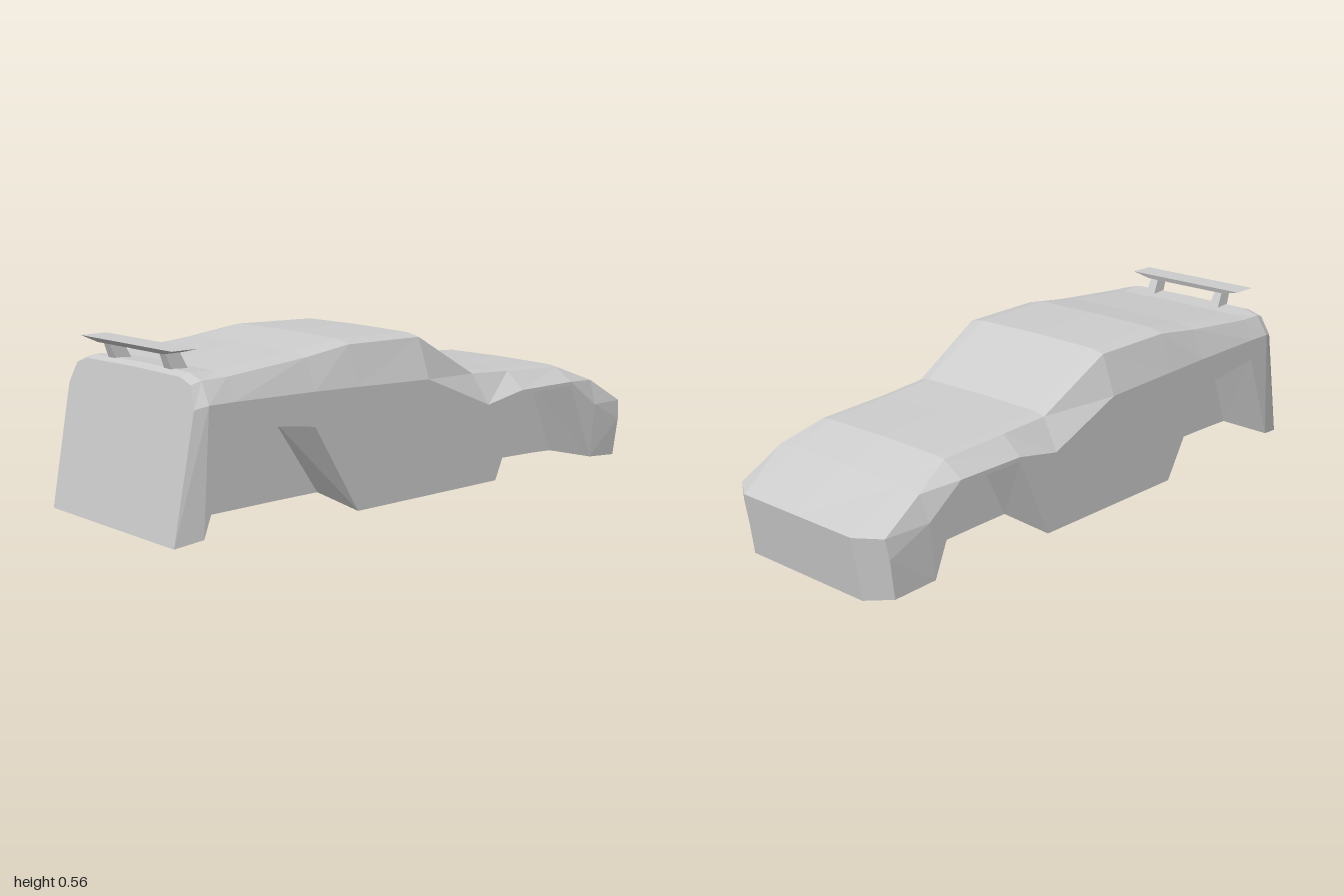
import * as THREE from 'three';

const material = new THREE.MeshStandardMaterial({ color: 0xcccccc, flatShading: true, side: THREE.DoubleSide });

// Cross-sections from tail to nose. Wheel wells appear where the arch rises above the floor.
const stations = [
  { xb: -1.0, xt: -0.91, floor: 0.015, arch: 0.015, zo: 0.32, belt: [0.325, 0.4], edge: [0.295, 0.465], top: 0.485 },
  { xb: -0.91, xt: -0.88, floor: 0.04, arch: 0.03, belt: [0.34, 0.41], edge: [0.3, 0.475], top: 0.495, dx: 0.015 },
  { xb: -0.795, xt: -0.795, floor: 0.043, arch: 0.34, belt: [0.34, 0.41], edge: [0.305, 0.478], top: 0.49, dx: 0.01 },
  { xb: -0.5, xt: -0.5, floor: 0.045, arch: 0.3, belt: [0.34, 0.405], edge: [0.3, 0.503], top: 0.517, dx: -0.01 },
  { xb: -0.33, xt: -0.33, floor: 0.045, arch: 0.015, belt: [0.34, 0.4], edge: [0.297, 0.525], top: 0.541, dx: -0.015 },
  { xb: -0.03, xt: -0.03, floor: 0.04, arch: 0.015, belt: [0.34, 0.39], edge: [0.292, 0.52], top: 0.533 },
  { xb: 0.28, xt: 0.23, floor: 0.035, arch: 0.015, belt: [0.34, 0.275], edge: [0.276, 0.373], top: 0.385, dx: 0.015 },
  { xb: 0.41, xt: 0.41, floor: 0.033, arch: 0.29, belt: [0.34, 0.305], edge: [0.27, 0.362], top: 0.372, dx: 0.01 },
  { xb: 0.66, xt: 0.66, floor: 0.027, arch: 0.29, belt: [0.34, 0.305], edge: [0.27, 0.35], top: 0.358, dx: -0.01 },
  { xb: 0.77, xt: 0.8, floor: 0.022, arch: 0.025, belt: [0.34, 0.21], edge: [0.31, 0.293], top: 0.303, dx: -0.015 },
  { xb: 0.97, xt: 1.0, floor: 0, arch: 0.01, zo: 0.325, zi: 0.245, belt: [0.33, 0.14], edge: [0.322, 0.205], top: 0.203, corner: 0.055 },
];

// Half outline of one section, from floor centre out and up to roof centre
function section({ xb, xt, floor, arch, zo = 0.34, zi = 0.165, belt, edge, top, dx = 0, corner = 0 }) {
  const outline = [
    [0, floor], [zi, floor], [zi, Math.max(floor, arch - 0.012)], [zo, arch],
    belt, edge, [0.24, Math.max(top - 0.003, edge[1] - 0.002)], [0, top],
  ];
  return outline.map(([z, y], i) => new THREE.Vector3(
    THREE.MathUtils.lerp(xb, xt, (y - floor) / (top - floor))
      + (i === 1 || i === 2 ? dx : 0) - (z > 0.25 ? corner : 0), y, z));
}

function bodyGeometry() {
  const rings = stations.map(section);
  const pos = [];
  const tri = (a, b, c) => {
    const area = b.clone().sub(a).cross(c.clone().sub(a)).length();
    if (area < 1e-7) return;
    for (const p of [a, b, c]) pos.push(p.x, p.y, p.z);
    for (const p of [a, c, b]) pos.push(p.x, p.y, -p.z);
  };
  const quad = (a, b, c, d) => { tri(a, b, c); tri(a, c, d); };

  // Skin between neighbouring sections
  for (let s = 0; s < rings.length - 1; s++) {
    const r = rings[s], q = rings[s + 1];
    for (let i = 0; i < r.length - 1; i++) quad(r[i], q[i], q[i + 1], r[i + 1]);
  }
  // Nose and tail faces
  const n = rings[rings.length - 1], t = rings[0];
  quad(n[0], n[7], n[6], n[1]);
  quad(n[1], n[6], n[5], n[3]);
  tri(n[3], n[5], n[4]);
  quad(t[0], t[1], t[6], t[7]);
  quad(t[1], t[3], t[5], t[6]);
  tri(t[3], t[4], t[5]);

  const geometry = new THREE.BufferGeometry();
  geometry.setAttribute('position', new THREE.Float32BufferAttribute(pos, 3));
  geometry.computeVertexNormals();
  return geometry;
}

// Box whose lower face is scaled and shifted along x
function taperedBox(w, h, d, sx, sz, shift) {
  const geometry = new THREE.BoxGeometry(w, h, d).toNonIndexed();
  const p = geometry.attributes.position;
  for (let i = 0; i < p.count; i++) {
    if (p.getY(i) < 0) {
      p.setX(i, p.getX(i) * sx + shift);
      p.setZ(i, p.getZ(i) * sz);
    }
  }
  geometry.computeVertexNormals();
  return geometry;
}

export function createModel() {
  const group = new THREE.Group();
  const add = (name, geometry, x = 0, y = 0, z = 0) => {
    const mesh = new THREE.Mesh(geometry, material);
    mesh.name = name;
    mesh.position.set(x, y, z);
    group.add(mesh);
  };

  add('carBody', bodyGeometry());

  // Rear wing on two raked posts
  add('wing', taperedBox(0.09, 0.016, 0.472, 0.75, 0.72, 0.006), -0.89, 0.547);
  for (const side of [-1, 1]) {
    add('wingPost', taperedBox(0.05, 0.056, 0.03, 1.1, 1.3, 0.025), -0.88, 0.513, side * 0.145);
  }
  return group;
}
